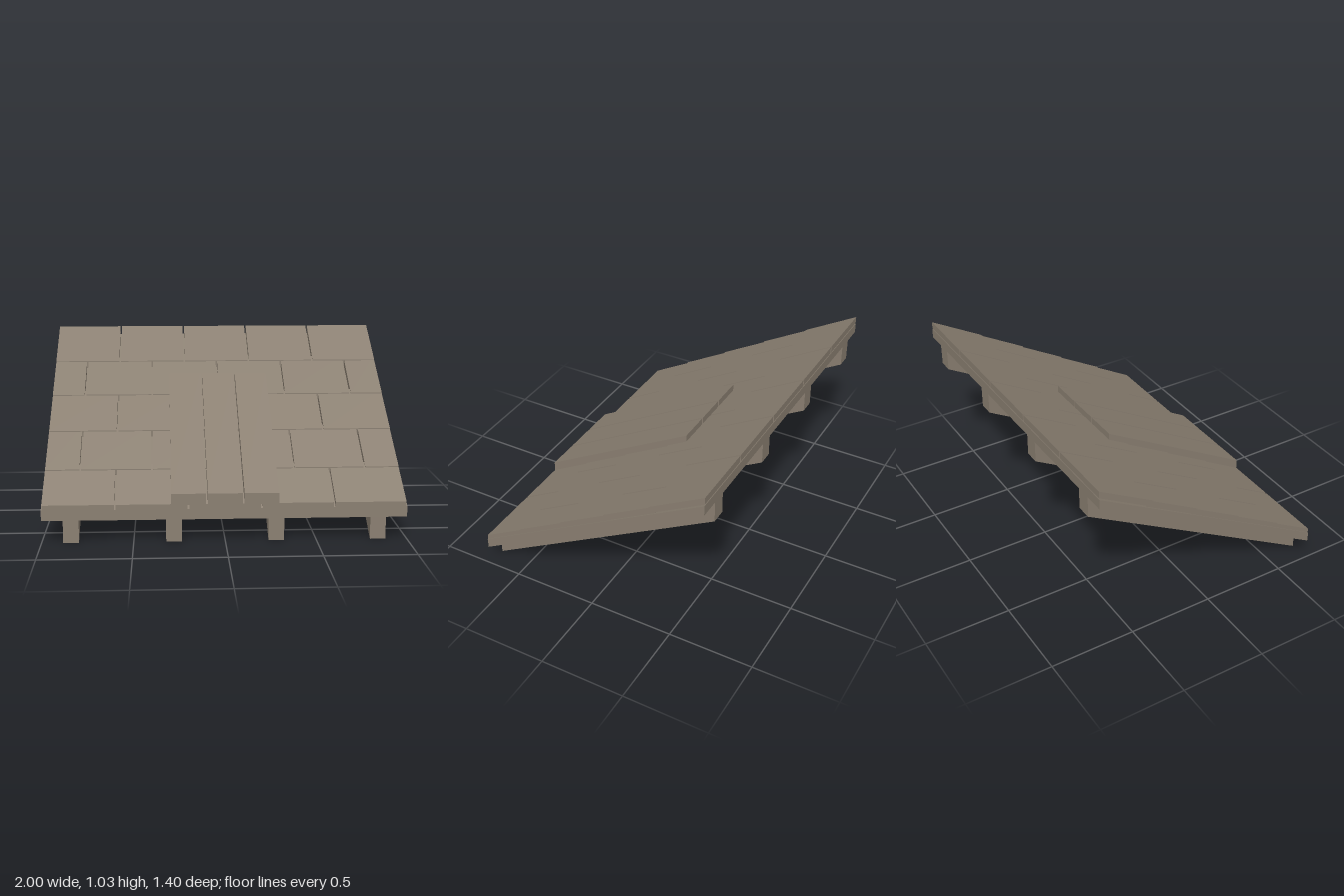
import * as THREE from 'three';

const SLOPE = 0.572; // rise of the roof per unit of depth
const FRONT = 0.7;   // depth of the eave; the ridge is at -FRONT

// Box sheared along the roof pitch, so its front and back faces stay vertical.
// Heights are those measured at the eave.
function pitchedBox(name, material, x0, x1, y0, y1, zFront, zBack) {
  const geometry = new THREE.BoxGeometry(x1 - x0, y1 - y0, zFront - zBack);
  geometry.translate((x0 + x1) / 2, (y0 + y1) / 2, (zFront + zBack) / 2);
  const p = geometry.attributes.position;
  for (let i = 0; i < p.count; i++) p.setY(i, p.getY(i) + SLOPE * (FRONT - p.getZ(i)));
  geometry.computeVertexNormals();
  const mesh = new THREE.Mesh(geometry, material);
  mesh.name = name;
  return mesh;
}

export function createModel() {
  const wood = new THREE.MeshStandardMaterial({ color: 0x8a7f71 });
  wood.name = 'weathered wood';

  const roof = new THREE.Group();
  roof.name = 'slopedRoof';

  // Rafters underneath
  const rafters = new THREE.Group();
  rafters.name = 'rafters';
  for (const x of [-0.84, -0.28, 0.28, 0.84]) {
    rafters.add(pitchedBox('rafter', wood, x - 0.043, x + 0.043, 0, 0.124, FRONT, -FRONT));
  }
  roof.add(rafters);

  // Solid deck
  roof.add(pitchedBox('deck', wood, -1, 1, 0.124, 0.183, FRONT, -FRONT));

  // Five overlapping shingle courses, each a little higher, with staggered joints
  const gap = 0.005;
  const courseFronts = [0.7, 0.46, 0.18, -0.1, -0.38];
  const courseBacks = [0.42, 0.14, -0.14, -0.42, -0.7];
  courseFronts.forEach((zFront, row) => {
    const course = new THREE.Group();
    course.name = 'shingleCourse' + (row + 1);
    const joints = row % 2 === 0
      ? [-1, -0.6, -0.2, 0.2, 0.6, 1]
      : [-1, -0.8, -0.4, 0, 0.4, 0.8, 1];
    const bottom = 0.169 + row * 0.0055;
    for (let i = 0; i < joints.length - 1; i++) {
      course.add(pitchedBox('shingle', wood, joints[i] + gap, joints[i + 1] - gap,
        bottom, bottom + 0.041, zFront, courseBacks[row]));
    }
    roof.add(course);
  });

  // Three long planks laid over the shingles
  const planks = new THREE.Group();
  planks.name = 'planks';
  for (const x of [-0.2, 0, 0.2]) {
    planks.add(pitchedBox('plank', wood, x - 0.095, x + 0.095, 0.205, 0.267, FRONT, -0.22));
  }
  roof.add(planks);

  return roof;
}
